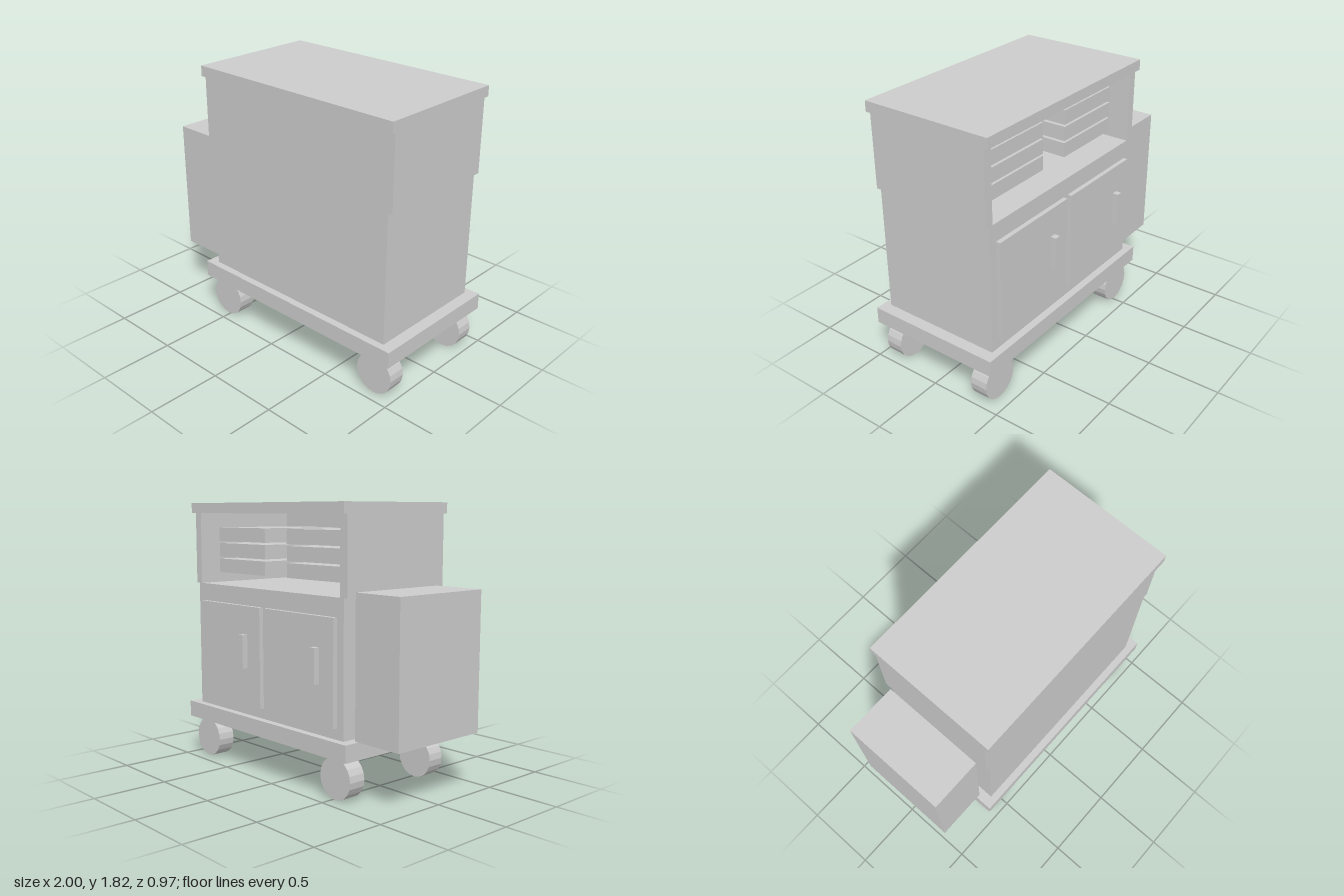
import * as THREE from 'three';

export function createModel() {
  const model = new THREE.Group();
  model.name = 'serviceCart';
  const grey = new THREE.MeshStandardMaterial({ color: 0xcccccc });
  grey.name = 'plainGrey';

  const cx = 0.162; // centre line of the cabinet

  // Box given by its minimum and maximum on each axis
  function box(name, [x0, x1], [y0, y1], [z0, z1]) {
    const mesh = new THREE.Mesh(new THREE.BoxGeometry(x1 - x0, y1 - y0, z1 - z0), grey);
    mesh.position.set((x0 + x1) / 2, (y0 + y1) / 2, (z0 + z1) / 2);
    mesh.name = name;
    model.add(mesh);
  }

  // Range between two offsets from the centre line, mirrored when side is -1
  const span = (side, a, b) => (side > 0 ? [cx + a, cx + b] : [cx - b, cx - a]);

  // Base, cabinet and lid
  box('basePlate', [-0.668, 1.0], [0.275, 0.387], [-0.463, 0.483]);
  box('lowerCabinet', [-0.597, 0.92], [0.387, 1.257], [-0.413, 0.434]);
  box('frontPanel', [-0.565, 0.889], [1.257, 1.75], [0.374, 0.434]);
  box('lid', [-0.63, 0.957], [1.75, 1.82], [-0.443, 0.463]);

  // Box hung beside the cabinet
  box('sideBox', [-1.0, -0.64], [0.387, 1.29], [-0.357, 0.363]);

  for (const side of [1, -1]) {
    // Walls of the open shelf
    box('shelfWall', span(side, 0.727, 0.789), [1.257, 1.75], [-0.413, 0.434]);
    // Doors
    box('door', span(side, 0.022, 0.7), [0.458, 1.137], [-0.443, -0.413]);
    // Stack of three trays
    for (let i = 0; i < 3; i++) {
      const y = 1.335 + i * 0.11;
      box('tray', span(side, 0.115, 0.637), [y, y + 0.096], [-0.318, 0.34]);
    }
  }

  // Door handles, both toward the same side
  for (const x of [-0.388, 0.34]) {
    box('doorHandle', [x - 0.021, x + 0.021], [0.718, 0.945], [-0.483, -0.443]);
  }

  // Wheels
  const wheelGeometry = new THREE.CylinderGeometry(0.136, 0.136, 0.12, 20).rotateX(Math.PI / 2).toNonIndexed();
  wheelGeometry.computeVertexNormals();
  for (const x of [-0.518, 0.846]) {
    for (const z of [0.37, -0.35]) {
      const wheel = new THREE.Mesh(wheelGeometry, grey);
      wheel.position.set(x, 0.137, z);
      wheel.name = 'wheel';
      model.add(wheel);
    }
  }
  return model;
}
